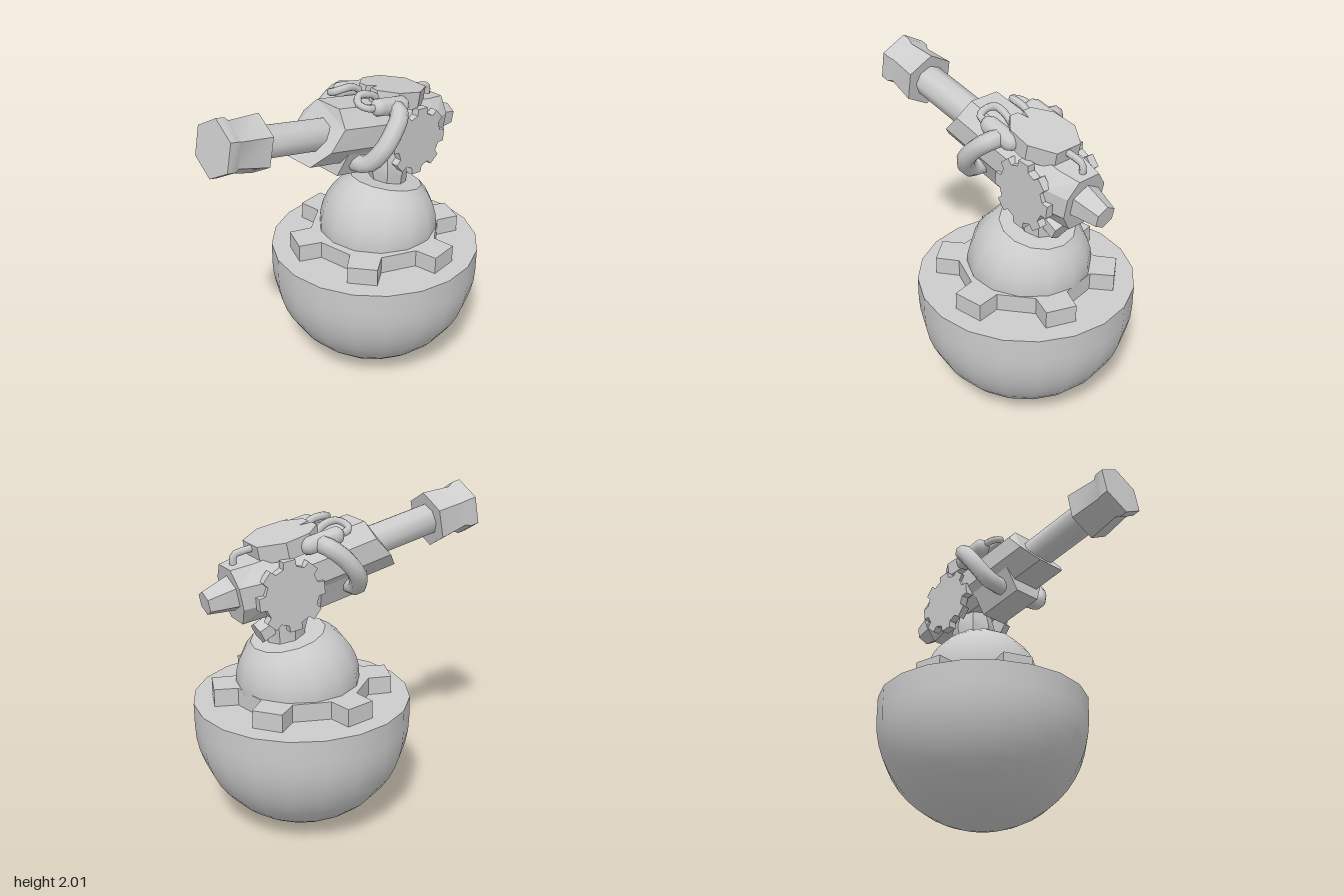
import * as THREE from 'three';
import { toCreasedNormals } from 'three/addons/utils/BufferGeometryUtils.js';

const grey = new THREE.MeshStandardMaterial({ color: 0xcccccc });
const TILT = -0.192; // upward pitch of the gun

function add(parent, name, geometry) {
  const mesh = new THREE.Mesh(geometry, grey);
  mesh.name = name;
  parent.add(mesh);
  return mesh;
}

// Turned part from [radius, height] pairs, bottom to top
function turned(profile, sides, crease = 0.7) {
  const g = new THREE.LatheGeometry(profile.map(([r, y]) => new THREE.Vector2(r, y)), sides);
  return toCreasedNormals(g, crease);
}

// Turned part lying along +z
const barrelPart = (profile, sides, crease) => turned(profile, sides, crease).rotateX(Math.PI / 2);

// Closed shape from its right half, mirrored in x
function mirroredShape(half) {
  const other = half.map(([x, y]) => [-x, y]).reverse();
  return new THREE.Shape([...half, ...other].map(([x, y]) => new THREE.Vector2(x, y)));
}

function extrude(shape, depth, steps = 1) {
  return new THREE.ExtrudeGeometry(shape, { depth, steps, bevelEnabled: false });
}

function gear(teeth, inner, outer, halfTip, halfRoot, phase, depth) {
  const pts = [];
  for (let i = 0; i < teeth; i++) {
    const a = phase + (i * Math.PI * 2) / teeth;
    for (const [r, d] of [[inner, -halfRoot], [outer, -halfTip], [outer, halfTip], [inner, halfRoot]]) {
      pts.push(new THREE.Vector2(r * Math.cos(a + d), r * Math.sin(a + d)));
    }
  }
  return extrude(new THREE.Shape(pts), depth);
}

function hose(points, radius, sides, mirror) {
  const path = new THREE.CatmullRomCurve3(points.map(([x, y, z]) => new THREE.Vector3(x * mirror, y, z)));
  return new THREE.TubeGeometry(path, 14, radius, sides);
}

export function createModel() {
  const model = new THREE.Group();
  model.name = 'turret';

  // Round-bottomed base with a flat top
  const bowl = [];
  for (let i = 0; i <= 12; i++) {
    const a = (i / 12) * Math.PI / 2;
    bowl.push([0.665 * Math.sin(a), 0.665 - 0.665 * Math.cos(a)]);
  }
  bowl.push([0.665, 0.81], [0, 0.81]);
  add(model, 'baseBowl', turned(bowl, 20)).position.z = -0.285;

  // Six-toothed turning ring
  const ring = gear(6, 0.41, 0.55, 0.17, 0.24, 0.16, 0.12).rotateX(-Math.PI / 2);
  add(model, 'baseGear', ring).position.set(0, 0.8, -0.285);

  // Tilted dome with its crown cut off
  const dome = [];
  for (let i = 0; i <= 7; i++) {
    const a = -0.4 + (i / 7) * 1.32;
    dome.push([0.378 * Math.cos(a), 0.378 * Math.sin(a)]);
  }
  dome.push([0, dome[7][1]]);
  const domeMesh = add(model, 'dome', turned(dome, 14));
  domeMesh.position.set(0, 0.93, -0.31);
  domeMesh.rotation.x = -0.218;

  // Neck and the short stub behind it
  const neck = [[0.115, 1.12], [0.12, 1.26], [0.143, 1.35], [0.12, 1.43], [0.11, 1.55]];
  add(model, 'neck', turned(neck, 8)).position.z = -0.39;
  const stub = add(model, 'neckStub', barrelPart([[0, -0.18], [0.07, -0.18], [0.07, 0], [0, 0]], 6));
  stub.position.set(0, 1.34, -0.41);
  stub.rotation.x = -0.45;

  // Gun, built along +z about its pivot
  const gun = new THREE.Group();
  gun.name = 'gun';
  gun.position.set(0, 1.53, -0.45);
  gun.rotation.x = TILT;
  model.add(gun);

  // Housing: narrower at the back, front face raked forward at the bottom
  const section = mirroredShape([[0.1, -0.11], [0.19, 0], [0.19, 0.13], [0.1, 0.225]]);
  const housing = extrude(section, 3, 3);
  const along = [-0.28, -0.14, 0.4, 0.605];
  const width = [0.74, 1, 1, 0.97];
  const p = housing.attributes.position;
  for (let i = 0; i < p.count; i++) {
    const t = Math.round(p.getZ(i));
    const rake = t === 3 ? Math.max(0, 0.15 - p.getY(i)) * 0.62 : 0;
    p.setX(i, p.getX(i) * width[t]);
    p.setZ(i, along[t] + rake);
  }
  housing.computeVertexNormals();
  add(gun, 'housing', housing);

  const under = extrude(mirroredShape([[0.09, -0.195], [0.16, -0.03]]), 0.317);
  add(gun, 'underBlock', under).position.z = 0.217;

  // Barrel, muzzle and rear nozzle share one axis
  const axis = new THREE.Group();
  axis.name = 'barrelAxis';
  axis.position.y = 0.045;
  gun.add(axis);
  add(axis, 'barrel', barrelPart([[0.1, 0.4], [0.1, 1.15]], 8, 1));
  add(axis, 'muzzle', barrelPart(
    [[0, 1.107], [0.175, 1.107], [0.152, 1.305], [0.172, 1.335], [0.172, 1.39], [0, 1.39]], 6));
  add(axis, 'rearNozzle', barrelPart(
    [[0, -0.445], [0.072, -0.445], [0.112, -0.27], [0.112, -0.2]], 6)).position.y = 0.02;

  // Notched cover plate on top
  const plate = mirroredShape([[0.09, 0.1], [0.18, -0.04], [0.165, -0.2], [0.08, -0.3], [0.02, -0.3], [0, -0.23]]);
  add(gun, 'topPlate', extrude(plate, 0.105).rotateX(-Math.PI / 2)).position.y = 0.2;

  // Small pipe bent down behind the plate
  add(gun, 'rearPipe', hose(
    [[0, 0.275, -0.06], [0, 0.28, -0.17], [0, 0.277, -0.205], [0, 0.25, -0.222], [0, 0.15, -0.225]], 0.021, 6, 1));

  for (const s of [1, -1]) {
    const side = s > 0 ? 'left' : 'right';

    // Side gears
    const wheel = gear(8, 0.175, 0.215, 0.18, 0.24, Math.PI / 2 + 0.1, 0.05).rotateY(Math.PI / 2);
    add(gun, side + 'Gear', wheel).position.x = s > 0 ? 0.16 : -0.21;

    // Capsule canister with its thin feed hose
    const canister = new THREE.CapsuleGeometry(0.056, 0.17, 4, 8).rotateX(Math.PI / 2);
    add(gun, side + 'Canister', canister).position.set(s * 0.167, 0.235, 0.27);
    add(gun, side + 'FeedHose', hose(
      [[0.07, 0.25, 0.28], [0.07, 0.285, 0.35], [0.07, 0.28, 0.44], [0.11, 0.25, 0.475],
        [0.16, 0.235, 0.45], [0.167, 0.235, 0.37]], 0.023, 6, s));

    // Thick hose looping outward to the underside
    add(model, side + 'LoopHose', hose(
      [[0.17, 1.8, -0.25], [0.25, 1.79, -0.23], [0.29, 1.72, -0.15], [0.285, 1.62, -0.07],
        [0.21, 1.52, -0.02], [0.1, 1.5, -0.01]], 0.055, 8, s));
  }

  return model;
}
